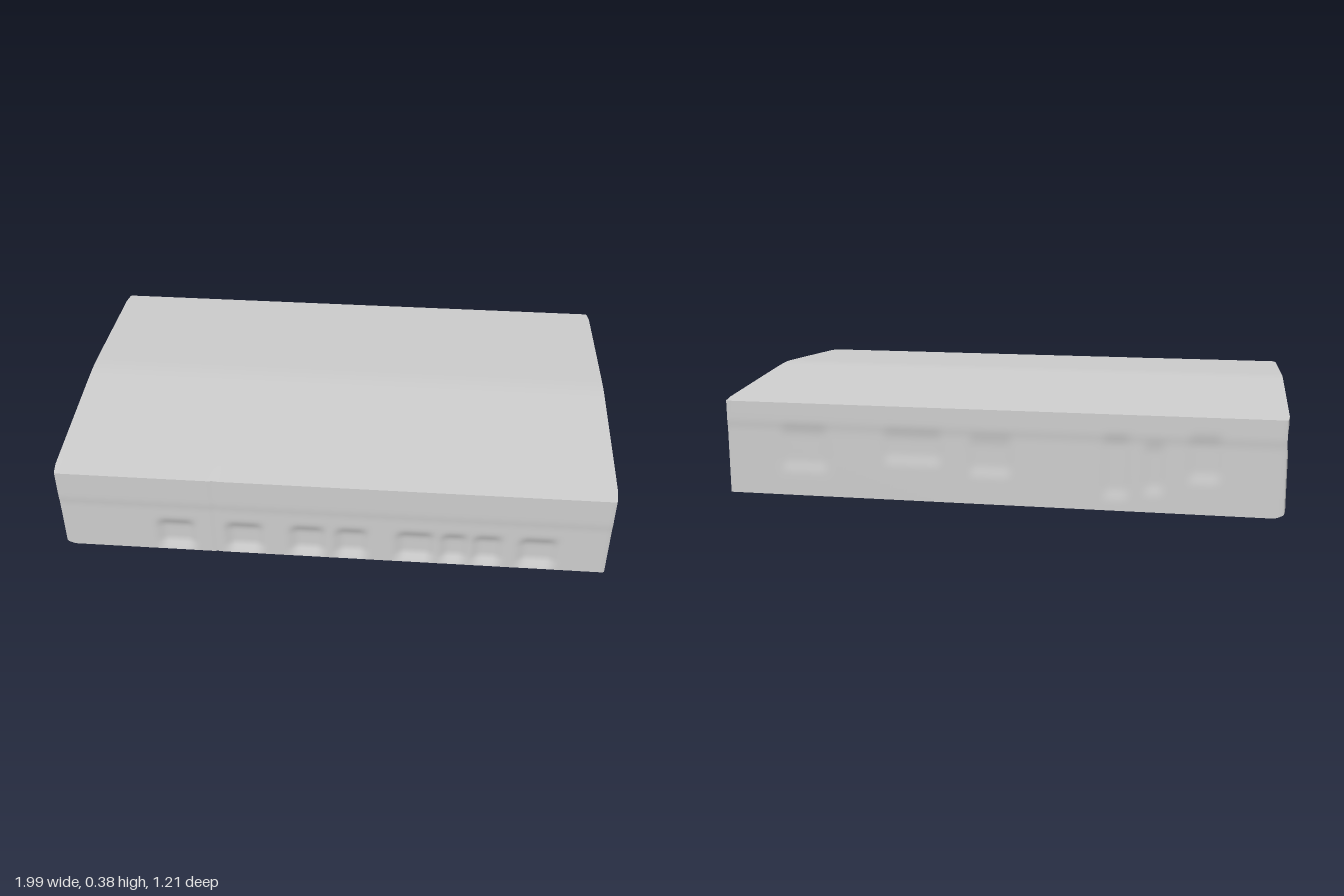
import * as THREE from 'three';

const HALF_X = 0.995, HALF_Z = 0.605, EAVE = 0.345, RIDGE = 0.387, BASE = 0.004;

// Loading doors along the front: [centre x, width]
const doors = [[-0.57, 0.12], [-0.32, 0.12], [-0.09, 0.11], [0.07, 0.1],
  [0.3, 0.12], [0.44, 0.08], [0.56, 0.09], [0.74, 0.12]];
// Shallow recesses on the back wall: [centre x, width, centre y, height]
const backPanels = [[0.7, 0.16, 0.18, 0.14], [0.3, 0.2, 0.2, 0.1], [0.02, 0.14, 0.18, 0.12],
  [-0.42, 0.08, 0.16, 0.2], [-0.55, 0.06, 0.16, 0.16], [-0.72, 0.1, 0.2, 0.14]];

// Soft-edged window: 1 inside the span, falling to 0 outside it
const soft = (v, centre, size, edge = 0.025) =>
  1 - THREE.MathUtils.smoothstep(Math.abs(v - centre), size / 2 - edge, size / 2 + edge);

function frontDepth(x, y) {
  let d = 0.003 * (1 - THREE.MathUtils.smoothstep(y, 0.2, 0.24)); // step under the upper band
  for (const [cx, w] of doors) d += 0.016 * soft(x, cx, w) * soft(y, 0.08, 0.11);
  return d + 0.003 * soft(x, -0.42, 0.015, 0.01); // wall seam
}

function backDepth(x, y) {
  let d = 0.003 * (1 - THREE.MathUtils.smoothstep(y, 0.24, 0.28));
  for (const [cx, w, cy, h] of backPanels) d += 0.006 * soft(x, cx, w) * soft(y, cy, h, 0.03);
  return d;
}

export function createModel() {
  const group = new THREE.Group();
  group.name = 'warehouse';

  // Finely divided box, shaped into a hall with a low gable roof
  const geometry = new THREE.BoxGeometry(2, 1, 2, 160, 24, 24);
  const p = geometry.attributes.position;
  for (let i = 0; i < p.count; i++) {
    const u = p.getX(i), v = p.getY(i) + 0.5, w = p.getZ(i);
    let x = u * HALF_X, z = w * HALF_Z;
    const slope = (Math.hypot(w, 0.06) - 0.06) / (Math.hypot(1, 0.06) - 0.06); // eased ridge
    const roof = RIDGE - (RIDGE - EAVE) * slope;
    // Underside rises slightly at the right end
    const base = BASE + 0.013 * THREE.MathUtils.smoothstep(-u, 0.96, 1);
    const y = base + (roof - base) * v;
    // Recesses in the long walls
    if (w > 0.999) z -= frontDepth(x, y);
    if (w < -0.999) z += backDepth(x, y);
    // Faint pair of vents on the right end wall
    if (u < -0.999) x += 0.006 * soft(y, 0.27, 0.06) * (soft(z, -0.36, 0.13) + soft(z, -0.5, 0.13));
    // Tiny softening of the four upright corners
    if (Math.abs(u) > 0.999 && Math.abs(w) > 0.999) {
      x -= Math.sign(u) * 0.006;
      z -= Math.sign(w) * 0.004;
    }
    p.setXYZ(i, x, y, z);
  }
  geometry.computeVertexNormals();

  const hall = new THREE.Mesh(geometry, new THREE.MeshStandardMaterial({ color: 0xcccccc }));
  hall.name = 'hall';
  group.add(hall);
  return group;
}
